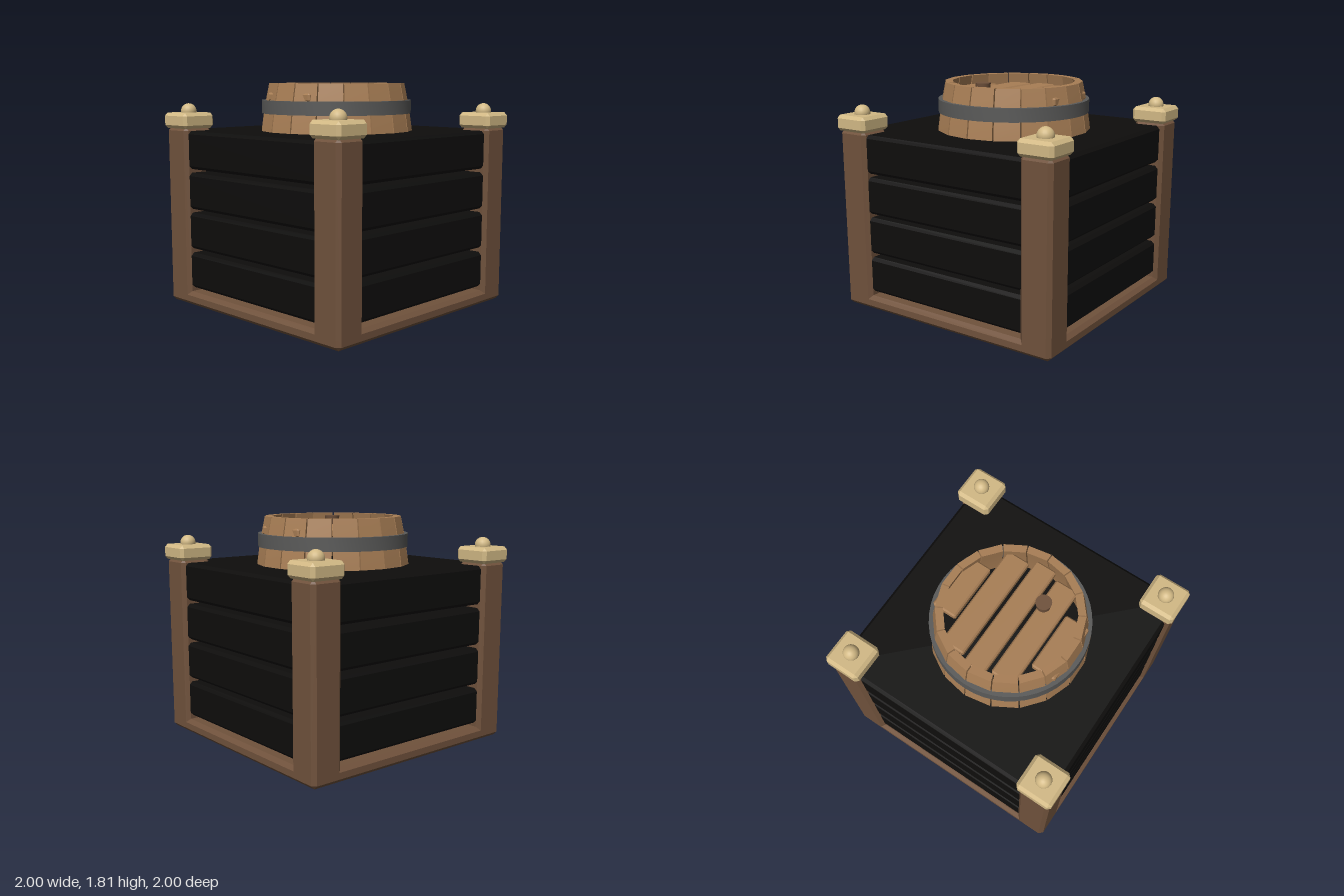
import * as THREE from 'three';
import { ConvexGeometry } from 'three/addons/geometries/ConvexGeometry.js';
import { toCreasedNormals } from 'three/addons/utils/BufferGeometryUtils.js';

const paint = (color) => new THREE.MeshStandardMaterial({ color });

// Box with flat chamfers, given by its size and chamfer width
function chamferBox(w, h, d, c) {
  const pts = [];
  for (const sx of [-1, 1]) for (const sy of [-1, 1]) for (const sz of [-1, 1]) {
    const x = w / 2, y = h / 2, z = d / 2;
    pts.push(new THREE.Vector3(sx * x, sy * (y - c), sz * (z - c)));
    pts.push(new THREE.Vector3(sx * (x - c), sy * y, sz * (z - c)));
    pts.push(new THREE.Vector3(sx * (x - c), sy * (y - c), sz * z));
  }
  return new ConvexGeometry(pts);
}

// Barrel outer radius: widest at mid height
const barrelRadius = (y) => 0.65 - 0.1 * Math.pow(Math.abs(y - 0.905) / 0.905, 2);

// One curved barrel stave, lofted from wedge-shaped cross-sections
function staveGeometry(halfAngle, thickness, height, levels) {
  const rows = [];
  for (let i = 0; i <= levels; i++) {
    const y = (height * i) / levels, r = barrelRadius(y);
    const corner = (rad, a) => [rad * Math.sin(a), y, rad * Math.cos(a)];
    rows.push([
      corner(r, -halfAngle), corner(r, halfAngle),
      corner(r - thickness, halfAngle), corner(r - thickness, -halfAngle),
    ]);
  }
  const pos = [];
  const quad = (a, b, c, d) => pos.push(...a, ...b, ...c, ...a, ...c, ...d);
  for (let i = 0; i < levels; i++) {
    for (let k = 0; k < 4; k++) {
      const n = (k + 1) % 4;
      quad(rows[i][k], rows[i][n], rows[i + 1][n], rows[i + 1][k]);
    }
  }
  const [b, t] = [rows[0], rows[levels]];
  quad(t[0], t[1], t[2], t[3]);
  quad(b[3], b[2], b[1], b[0]);
  const geo = new THREE.BufferGeometry();
  geo.setAttribute('position', new THREE.Float32BufferAttribute(pos, 3));
  return toCreasedNormals(geo, 0.5);
}

export function createModel() {
  const model = new THREE.Group();
  model.name = 'barrelCrate';
  const frameWood = paint(0x70523c);
  const blackWood = paint(0x0e0d0c);
  const capWood = paint(0xd2b985);
  const barrelWood = paint(0xa87e55);
  const iron = paint(0x5a5a59);

  const add = (parent, name, geo, mat, x, y, z) => {
    const mesh = new THREE.Mesh(geo, mat);
    mesh.name = name;
    mesh.position.set(x, y, z);
    parent.add(mesh);
    return mesh;
  };

  // Base slab
  add(model, 'base', chamferBox(1.96, 0.11, 1.96, 0.03), frameWood, 0, 0.065, 0);

  // Stacked dark boards with narrow gaps
  for (const [lo, hi] of [[0.15, 0.44], [0.475, 0.77], [0.8, 1.095], [1.125, 1.43]]) {
    add(model, 'board', chamferBox(1.9, hi - lo, 1.9, 0.025), blackWood, 0, (lo + hi) / 2, 0);
  }

  // Corner posts with caps and ball finials
  const postGeo = chamferBox(0.26, 1.45, 0.26, 0.03);
  const capGeo = chamferBox(0.295, 0.125, 0.295, 0.025);
  const ballGeo = new THREE.SphereGeometry(0.062, 20, 14);
  for (const sx of [-1, 1]) for (const sz of [-1, 1]) {
    const corner = new THREE.Group();
    corner.name = 'cornerPost';
    corner.position.set(sx * 0.85, 0, sz * 0.85);
    add(corner, 'post', postGeo, frameWood, 0, 0.735, 0);
    add(corner, 'postCap', capGeo, capWood, 0, 1.51, 0);
    add(corner, 'finial', ballGeo, capWood, 0, 1.585, 0);
    model.add(corner);
  }

  // Barrel staves
  const barrel = new THREE.Group();
  barrel.name = 'barrel';
  model.add(barrel);
  const count = 18;
  const staveGeo = staveGeometry(Math.PI / count - 0.009, 0.06, 1.81, 14);
  for (let i = 0; i < count; i++) {
    add(barrel, 'stave', staveGeo, barrelWood, 0, 0, 0).rotation.y = (i * 2 * Math.PI) / count;
  }

  // Iron hoop
  const hoopProfile = [[0.565, 1.57], [0.605, 1.57], [0.605, 1.675], [0.565, 1.675], [0.565, 1.57]];
  const hoopGeo = new THREE.LatheGeometry(hoopProfile.map(([x, y]) => new THREE.Vector2(x, y)), 48);
  add(barrel, 'hoop', toCreasedNormals(hoopGeo, 0.6), iron, 0, 0, 0);

  // Lid planks: width, depth, z
  const planks = [[0.97, 0.175, 0], [0.87, 0.19, 0.217], [0.47, 0.2, 0.435]];
  for (const [w, d, z] of planks) {
    for (const s of z ? [-1, 1] : [1]) {
      add(barrel, 'lidPlank', chamferBox(w, 0.065, d, 0.012), barrelWood, 0, 1.703, s * z);
    }
  }

  // Bung on the lid
  add(barrel, 'bung', new THREE.CylinderGeometry(0.062, 0.052, 0.07, 20), frameWood, 0.2, 1.765, 0.157);

  return model;
}
